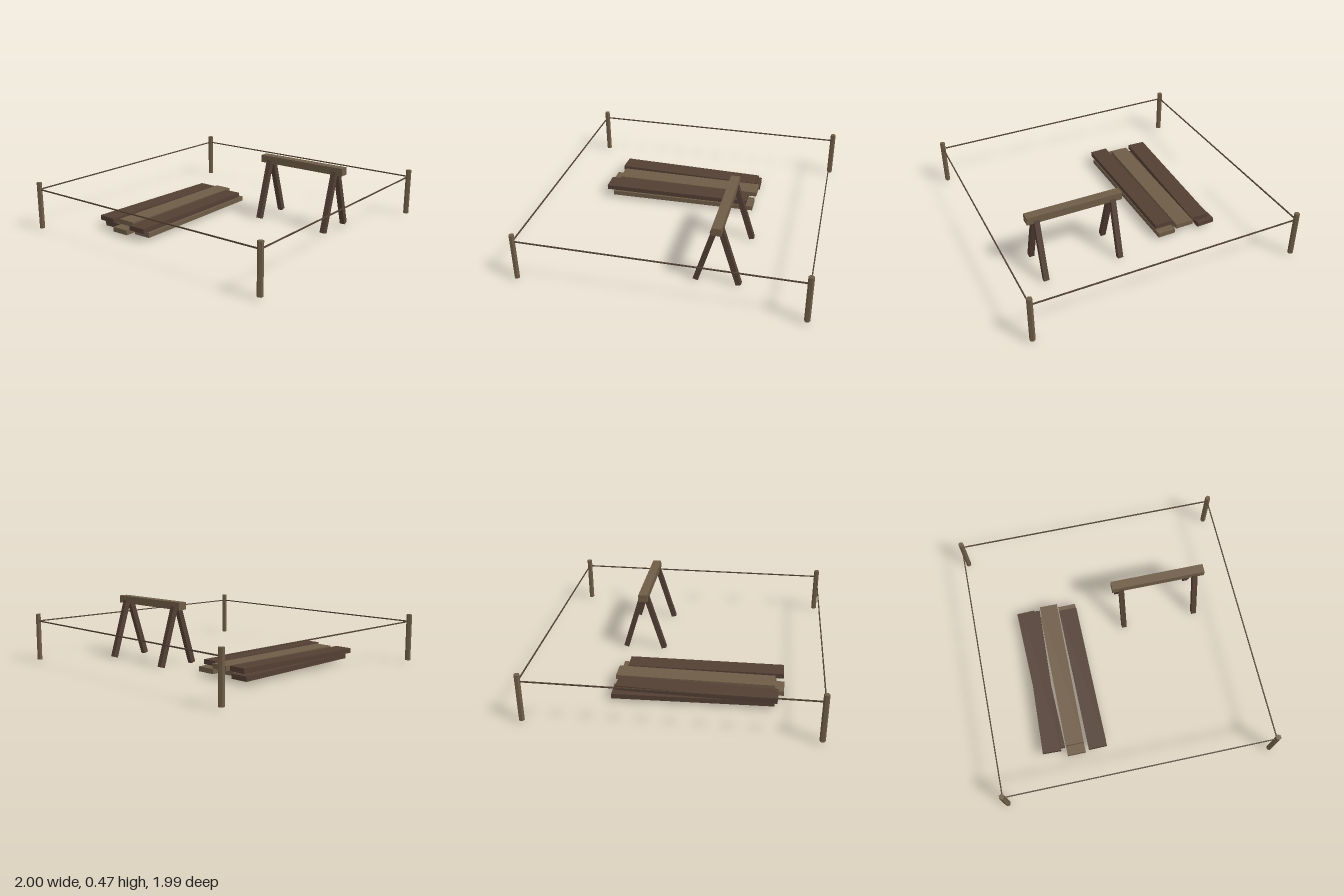
import * as THREE from 'three';

export function createModel() {
  const model = new THREE.Group();
  model.name = 'buildingPlot';

  const mat = (name, color) => {
    const m = new THREE.MeshStandardMaterial({ color, flatShading: true });
    m.name = name;
    return m;
  };
  const lightWood = mat('lightWood', 0x6e5c46);
  const darkWood = mat('darkWood', 0x523f34);
  const ropeBrown = mat('ropeBrown', 0x544336);

  const add = (parent, name, geometry, material, x, y, z) => {
    const mesh = new THREE.Mesh(geometry, material);
    mesh.name = name;
    mesh.position.set(x, y, z);
    parent.add(mesh);
    return mesh;
  };

  // Corner stakes, six-sided with a corner pointing along x
  const P = 0.98;
  const stakeGeo = new THREE.CylinderGeometry(0.02, 0.02, 0.345, 6).rotateY(Math.PI / 6);
  for (const sx of [-1, 1])
    for (const sz of [-1, 1])
      add(model, 'cornerStake', stakeGeo, lightWood, sx * P, 0.1875, sz * P);

  // Boundary ropes between the stakes
  const ropeX = new THREE.BoxGeometry(2 * P, 0.008, 0.008);
  const ropeZ = new THREE.BoxGeometry(0.008, 0.008, 2 * P);
  for (const s of [-1, 1]) {
    add(model, 'boundaryRope', ropeX, ropeBrown, 0, 0.308, s * P);
    add(model, 'boundaryRope', ropeZ, ropeBrown, s * P, 0.308, 0);
  }

  // Stacked planks: centre x, y, z, turn about y, material
  const LOW = 0.04, HIGH = 0.083;
  const planks = [
    [-0.12, LOW, -0.268, 0.013, lightWood],
    [-0.175, LOW, -0.424, 0.0, lightWood],
    [-0.11, LOW, -0.583, 0.03, darkWood],
    [-0.17, HIGH, -0.268, 0.008, darkWood],
    [-0.11, HIGH, -0.42, -0.008, lightWood],
    [-0.134, HIGH, -0.578, -0.036, darkWood],
  ];
  const stack = new THREE.Group();
  stack.name = 'plankStack';
  model.add(stack);
  const plankGeo = new THREE.BoxGeometry(1.118, 0.035, 0.135);
  for (const [x, y, z, turn, material] of planks)
    add(stack, 'plank', plankGeo, material, x, y, z).rotation.y = turn;

  // Sawhorse: a top beam on two pairs of splayed legs
  const horse = new THREE.Group();
  horse.name = 'sawhorse';
  horse.position.set(0.347, 0, 0.418);
  model.add(horse);
  add(horse, 'topBeam', new THREE.BoxGeometry(0.066, 0.055, 0.7), lightWood, 0, 0.444, 0);
  const legGeo = new THREE.BoxGeometry(0.038, 0.447, 0.038);
  for (const sx of [-1, 1])
    for (const sz of [-1, 1]) {
      const leg = add(horse, 'leg', legGeo, darkWood, sx * 0.083, 0.22, sz * 0.281);
      leg.rotation.z = sx * 0.297;
    }

  return model;
}
